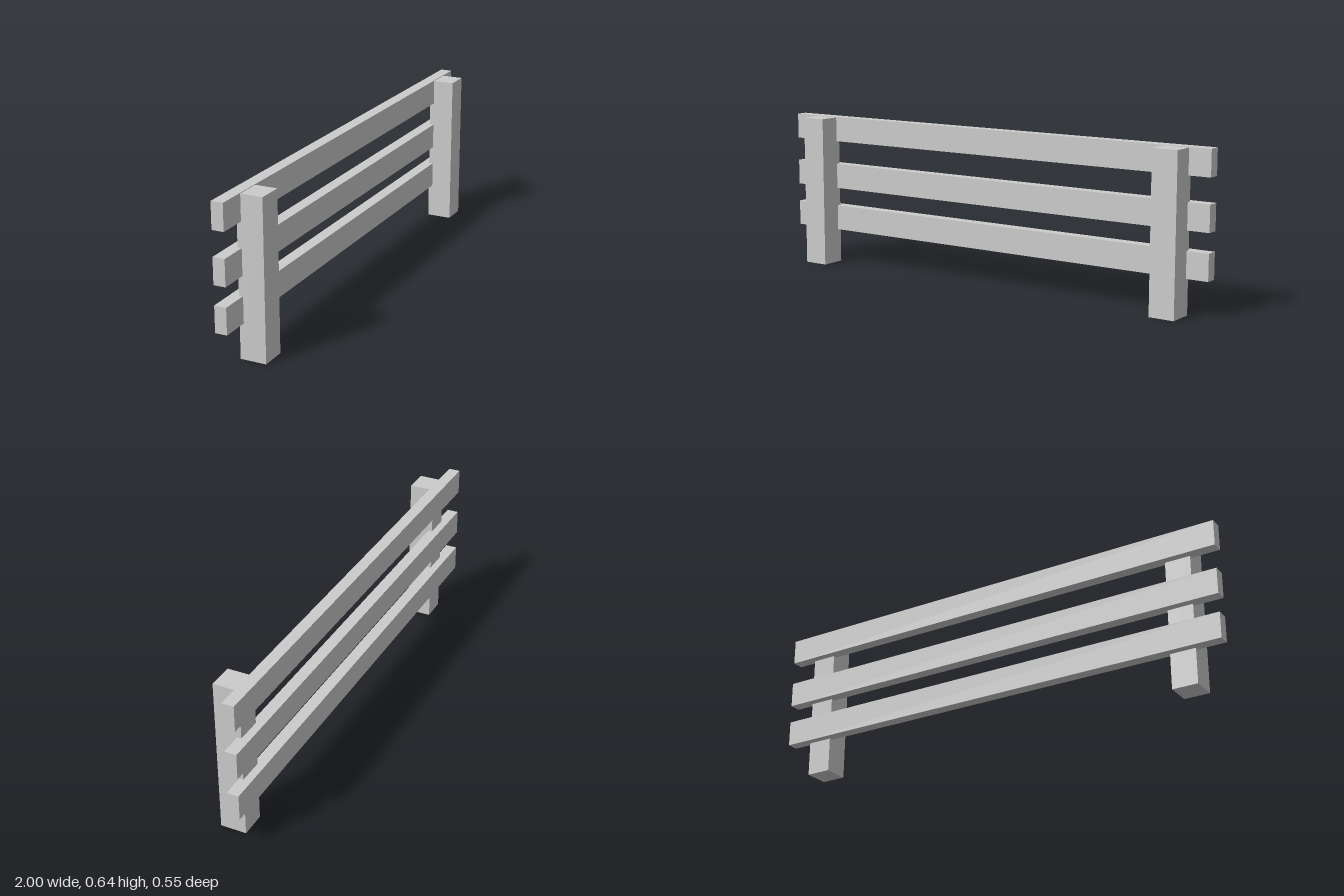
import * as THREE from 'three';

export function createModel() {
  const model = new THREE.Group();
  model.name = 'fence';
  const material = new THREE.MeshStandardMaterial({ color: 0xcccccc, flatShading: true });

  // The whole fence section stands at a slight angle
  const section = new THREE.Group();
  section.name = 'fenceSection';
  section.position.z = -0.03;
  section.rotation.y = Math.atan2(0.438, 1.99);
  model.add(section);

  const addBox = (name, size, x, y, z) => {
    const mesh = new THREE.Mesh(new THREE.BoxGeometry(...size), material);
    mesh.name = name;
    mesh.position.set(x, y, z);
    section.add(mesh);
  };

  // Three horizontal rails
  const rails = { lowerRail: 0.1985, middleRail: 0.3835, upperRail: 0.591 };
  for (const [name, y] of Object.entries(rails)) {
    addBox(name, [2.038, 0.107, 0.0492], 0, y, 0);
  }

  // Square posts, with the rails let into their backs
  const posts = { leftPost: 0.8733, rightPost: -0.848 };
  for (const [name, x] of Object.entries(posts)) {
    addBox(name, [0.1066, 0.642, 0.1066], x, 0.321, 0.0607);
  }

  return model;
}
